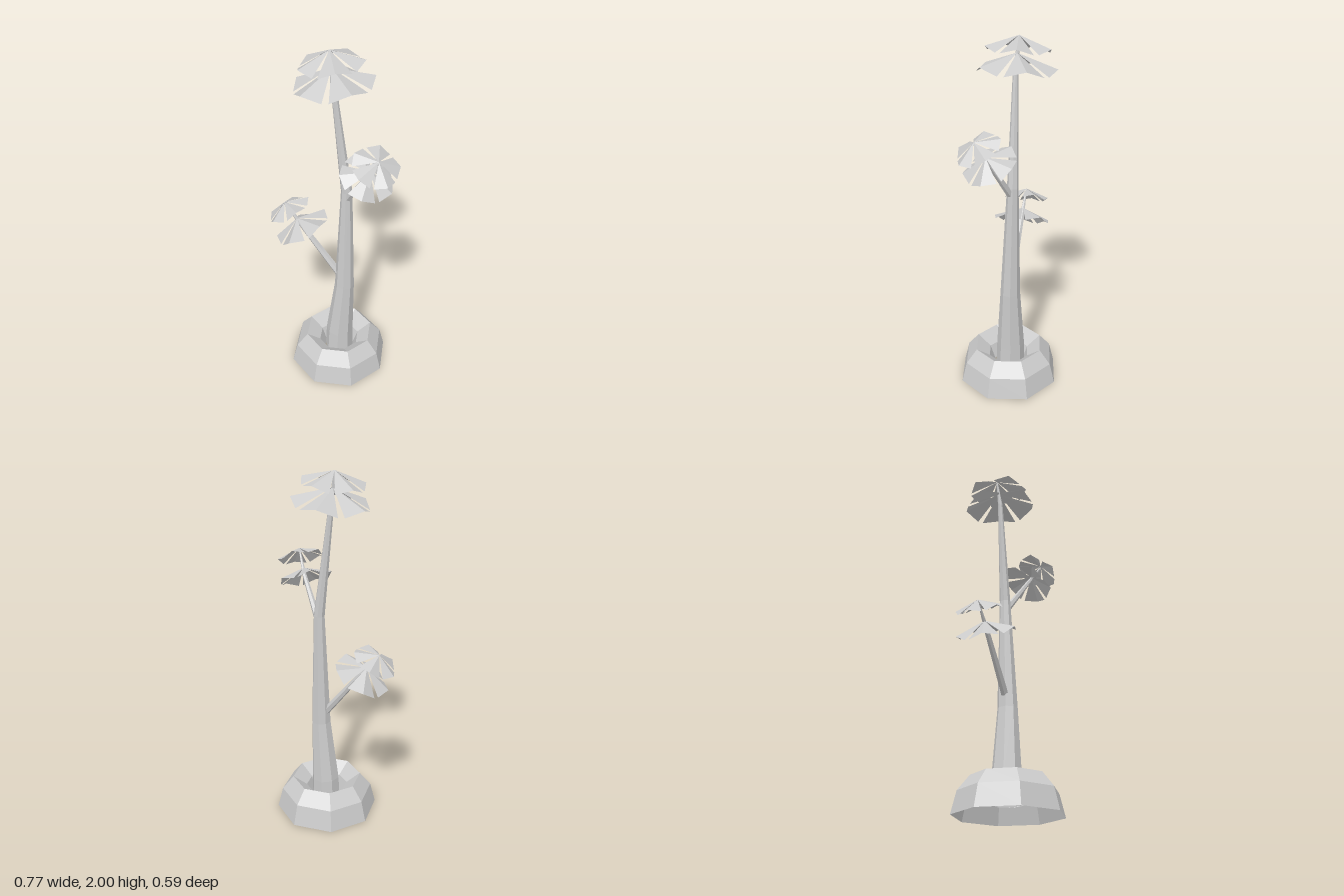
import * as THREE from 'three';

const UP = new THREE.Vector3(0, 1, 0);
const material = new THREE.MeshStandardMaterial({
  color: 0xcccccc, flatShading: true, side: THREE.DoubleSide,
});

function addMesh(parent, name, geometry) {
  geometry.computeVertexNormals();
  const mesh = new THREE.Mesh(geometry, material);
  mesh.name = name;
  parent.add(mesh);
  return mesh;
}

// Tapered limb lofted through [x, y, z, radius] stations
function limbGeometry(stations, sides) {
  const pts = stations.map(([x, y, z]) => new THREE.Vector3(x, y, z));
  const positions = [], index = [];
  stations.forEach((s, i) => {
    const tangent = pts[Math.min(i + 1, pts.length - 1)].clone()
      .sub(pts[Math.max(i - 1, 0)]).normalize();
    const q = new THREE.Quaternion().setFromUnitVectors(UP, tangent);
    for (let j = 0; j < sides; j++) {
      const a = (j + 0.5) / sides * Math.PI * 2;
      const v = new THREE.Vector3(Math.cos(a) * s[3], 0, Math.sin(a) * s[3])
        .applyQuaternion(q).add(pts[i]);
      positions.push(v.x, v.y, v.z);
      if (i) {
        const k = (j + 1) % sides, lo = (i - 1) * sides, hi = i * sides;
        index.push(lo + j, hi + j, lo + k, lo + k, hi + j, hi + k);
      }
    }
  });
  const g = new THREE.BufferGeometry();
  g.setAttribute('position', new THREE.Float32BufferAttribute(positions, 3));
  g.setIndex(index);
  return g;
}

// Ring of five leaves, each two triangles folded along a raised midrib
function leafRing(radius, offsetDeg) {
  const positions = [];
  const at = (a, r, drop) => [Math.cos(a) * r * radius, -drop * radius, Math.sin(a) * r * radius];
  const half = THREE.MathUtils.degToRad(31);
  for (let i = 0; i < 5; i++) {
    const a = THREE.MathUtils.degToRad(offsetDeg + i * 72);
    const left = at(a - half, 0.94, 0.47), tip = at(a, 1, 0.33), right = at(a + half, 0.94, 0.47);
    positions.push(0, 0, 0, ...tip, ...left, 0, 0, 0, ...right, ...tip);
  }
  const g = new THREE.BufferGeometry();
  g.setAttribute('position', new THREE.Float32BufferAttribute(positions, 3));
  return g;
}

function addLeaves(parent, name, position, direction, radius, offsetDeg) {
  const mesh = addMesh(parent, name, leafRing(radius, offsetDeg));
  mesh.position.set(...position);
  mesh.quaternion.setFromUnitVectors(UP, new THREE.Vector3(...direction).normalize());
}

export function createModel() {
  const tree = new THREE.Group();
  tree.name = 'pottedTree';

  // Hollow octagonal planter with a sunken top
  const profile = [[0.295, 0], [0.265, 0.12], [0.2, 0.2], [0.12, 0.14], [0.09, 0.06]]
    .map(([r, y]) => new THREE.Vector2(r, y));
  addMesh(tree, 'planter', new THREE.LatheGeometry(profile, 8)).position.x = 0.05;

  // Trunk leaning away above the upper fork
  addMesh(tree, 'trunk', limbGeometry([
    [0.046, 0.06, -0.01, 0.084], [0.048, 0.2, -0.012, 0.08], [0.072, 0.57, -0.021, 0.056],
    [0.07, 1.22, -0.035, 0.031], [-0.005, 1.84, -0.018, 0.014], [-0.03, 1.995, -0.025, 0.005],
  ], 8));

  // Branches
  addMesh(tree, 'rightBranch', limbGeometry([
    [0.04, 0.64, -0.015, 0.022], [-0.18, 0.92, 0.02, 0.015], [-0.285, 1.055, 0.035, 0.004],
  ], 6));
  addMesh(tree, 'leftBranch', limbGeometry([
    [0.075, 1.17, -0.03, 0.02], [0.235, 1.41, 0.03, 0.012], [0.302, 1.525, 0.07, 0.004],
  ], 6));

  // Leaf rings: a small one at each tip, a larger one beneath
  addLeaves(tree, 'crownUpperLeaves', [-0.03, 2, -0.025], [-0.13, 1, 0], 0.173, -20);
  addLeaves(tree, 'crownLowerLeaves', [-0.015, 1.915, -0.02], [-0.13, 1, 0], 0.212, 35);
  addLeaves(tree, 'rightBranchUpperLeaves', [-0.29, 1.06, 0.035], [-0.55, 1, 0.12], 0.13, 30);
  addLeaves(tree, 'rightBranchLowerLeaves', [-0.215, 0.97, 0.027], [-0.55, 1, 0.12], 0.165, 11);
  addLeaves(tree, 'leftBranchUpperLeaves', [0.305, 1.535, 0.07], [0.5, 1, 0.3], 0.128, 30);
  addLeaves(tree, 'leftBranchLowerLeaves', [0.245, 1.44, 0.037], [0.5, 1, 0.25], 0.15, -75);
  return tree;
}
